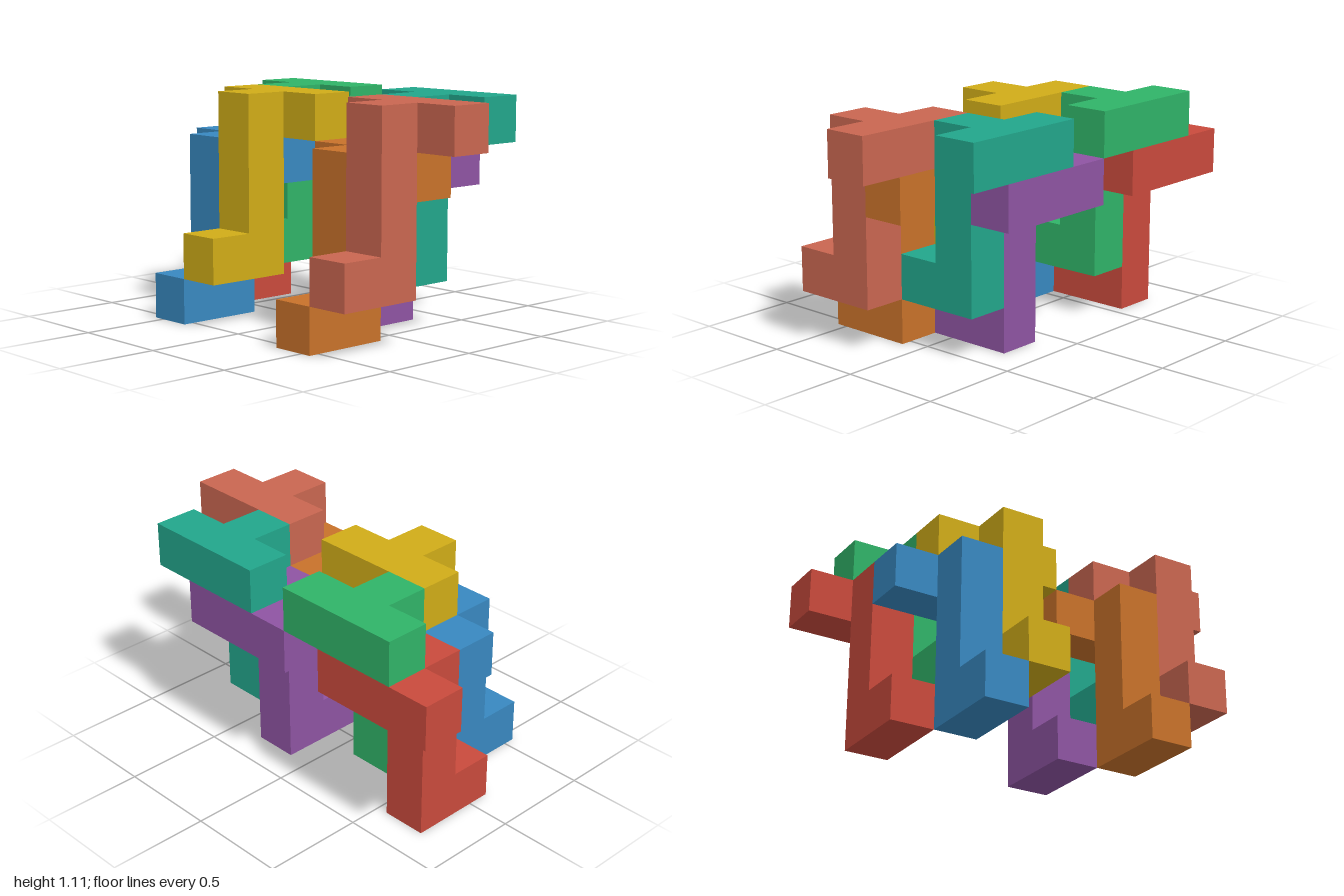
import * as THREE from 'three';

const U = 2 / 9; // edge of one unit cube

// Side profile of a piece, in units (z, y): foot, column and the root of the top bar
const PROFILE = [[1, 0], [3, 0], [3, 1], [2, 1], [2, 4], [0, 4], [0, 3], [1, 3]];

function createPiece(name, color) {
  const piece = new THREE.Group();
  piece.name = name;
  const material = new THREE.MeshStandardMaterial({ color, flatShading: true });

  // Column with foot, one unit wide and centred on x
  const shape = new THREE.Shape(PROFILE.map(([z, y]) => new THREE.Vector2(z * U, y * U)));
  const columnGeometry = new THREE.ExtrudeGeometry(shape, { depth: U, bevelEnabled: false });
  columnGeometry.rotateY(-Math.PI / 2).translate(U / 2, 0, 0);
  const column = new THREE.Mesh(columnGeometry, material);
  column.name = 'columnWithFoot';
  piece.add(column);

  // Two ends of the bar across the top
  for (const side of [-1, 1]) {
    const end = new THREE.Mesh(new THREE.BoxGeometry(U, U, U), material);
    end.position.set(side * U, 3.5 * U, 0.5 * U);
    end.name = side > 0 ? 'leftBarEnd' : 'rightBarEnd';
    piece.add(end);
  }
  return piece;
}

export function createModel() {
  const model = new THREE.Group();
  model.name = 'interlockingPieces';

  // name, color, column cell in x, height of the foot, back cell in z
  const pieces = [
    ['redPiece', 0xc94a3c, 1, 0, 0],
    ['greenPiece', 0x30b368, 2, 1, 0],
    ['purplePiece', 0x8e54a2, 5, 0, 0],
    ['tealPiece', 0x22a68b, 6, 1, 0],
    ['bluePiece', 0x3888c0, 2, 0, 2],
    ['yellowPiece', 0xd0ac18, 3, 1, 2],
    ['orangePiece', 0xc8722a, 6, 0, 2],
    ['salmonPiece', 0xc96650, 7, 1, 2],
  ];
  for (const [name, color, x, y, z] of pieces) {
    const piece = createPiece(name, color);
    piece.position.set((x - 4) * U, y * U, (z - 2.5) * U);
    model.add(piece);
  }
  return model;
}
